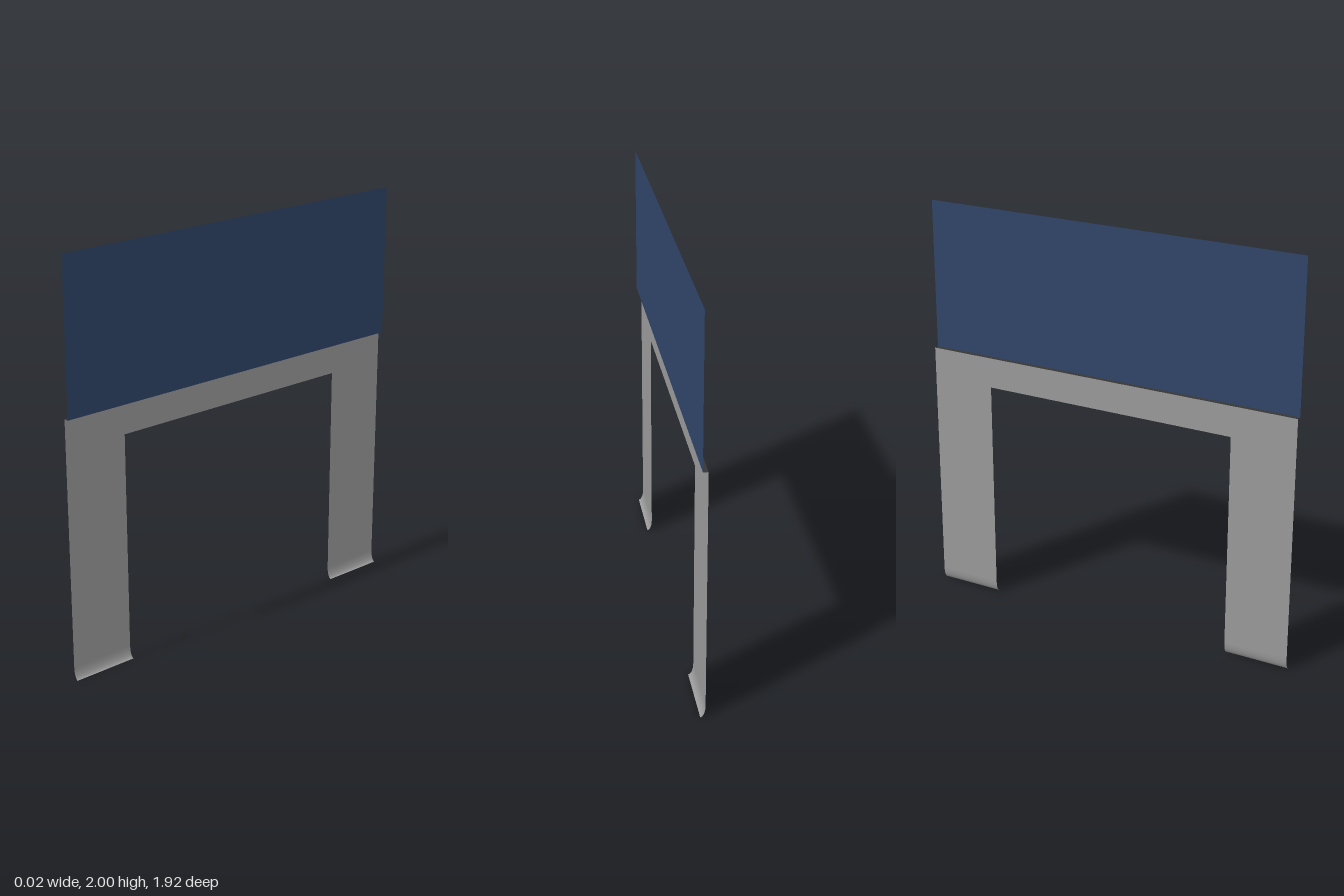
import * as THREE from 'three';

const X = 0.012;        // half the depth between frame plane and panel plane
const HALF = 0.96;      // half the overall length
const INNER = 0.64;     // inner edge of the legs
const FOOT = 0.06;      // height where the feet begin to curve
const SILL = 1.265;     // bottom of the panel

function sheetMaterial(name, color) {
  const m = new THREE.MeshStandardMaterial({ color, side: THREE.DoubleSide });
  m.name = name;
  return m;
}

export function createModel() {
  const group = new THREE.Group();
  group.name = 'panelOnLegs';
  const grey = sheetMaterial('grey', 0x999999);
  const blue = sheetMaterial('blue', 0x2f4568);
  const dark = sheetMaterial('darkGrey', 0x363636);

  function add(name, geometry, material, x = 0, y = 0, z = 0) {
    const mesh = new THREE.Mesh(geometry, material);
    mesh.name = name;
    mesh.position.set(x, y, z);
    group.add(mesh);
  }

  // Upper panel, a single upright sheet
  add('upperPanel', new THREE.PlaneGeometry(2 * HALF, 2 - SILL).rotateY(Math.PI / 2),
    blue, X, (2 + SILL) / 2);

  // Ledge joining the panel to the frame below
  add('ledge', new THREE.PlaneGeometry(2 * X, 2 * HALF).rotateX(-Math.PI / 2), dark, 0, SILL);

  // Frame: two legs and a lintel cut from one sheet
  const outline = new THREE.Shape([
    [-HALF, FOOT], [-INNER, FOOT], [-INNER, 1.115], [INNER, 1.115],
    [INNER, FOOT], [HALF, FOOT], [HALF, SILL], [-HALF, SILL],
  ].map(([z, y]) => new THREE.Vector2(z, y)));
  const frame = new THREE.ShapeGeometry(outline).rotateY(Math.PI / 2);
  add('legFrame', frame, grey, -X);

  // Feet: short sheets that sweep outwards towards the ground
  for (const side of [1, -1]) {
    const foot = new THREE.PlaneGeometry(HALF - INNER, FOOT, 1, 8).rotateY(Math.PI / 2);
    const p = foot.attributes.position;
    for (let i = 0; i < p.count; i++) {
      const t = (0.5 - p.getY(i) / FOOT) * Math.PI / 2;
      p.setXY(i, -X + 2 * X * (1 - Math.cos(t)), FOOT * (1 - Math.sin(t)));
    }
    foot.computeVertexNormals();
    add(side > 0 ? 'frontFoot' : 'backFoot', foot, grey, 0, 0, side * (HALF + INNER) / 2);
  }
  return group;
}
